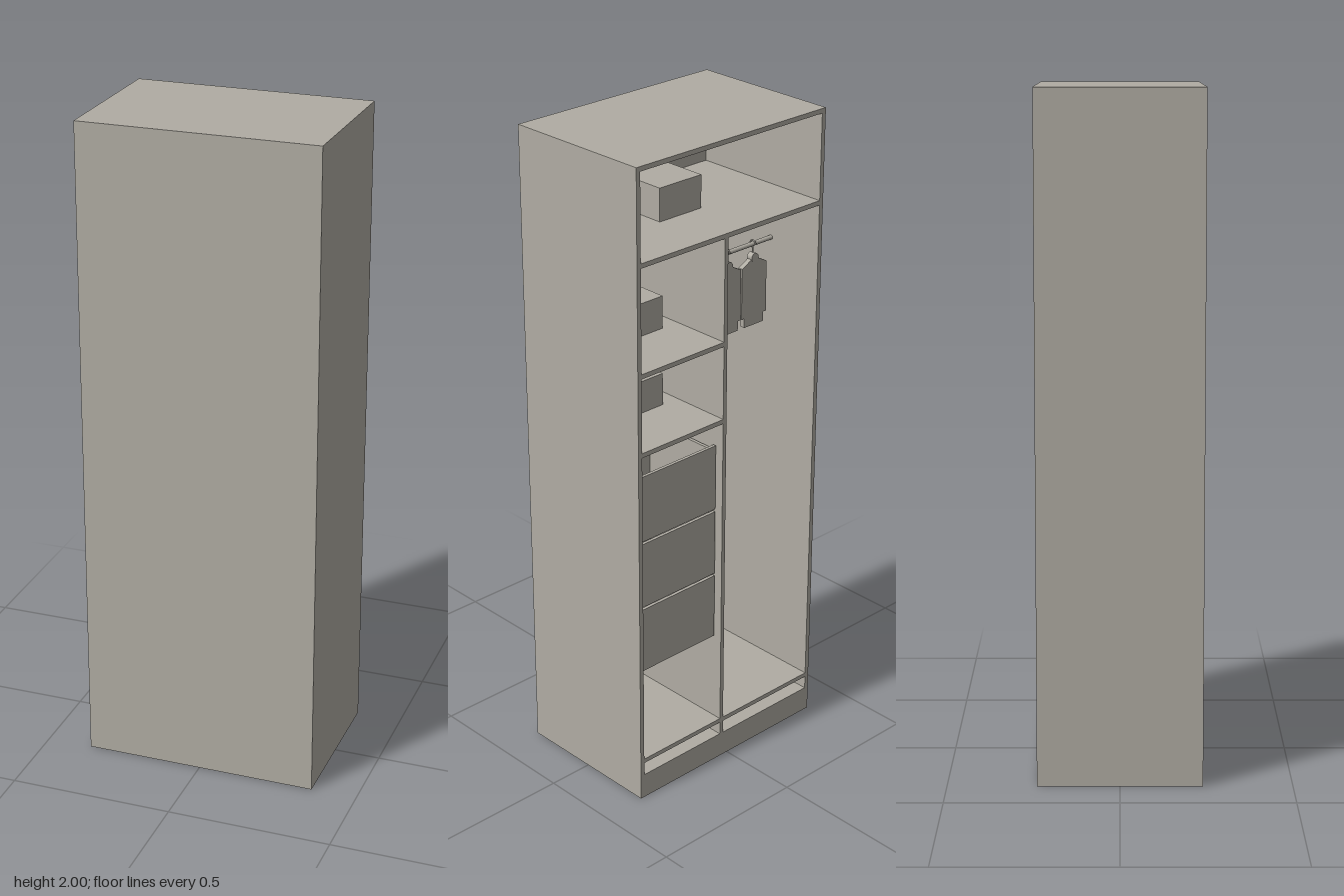
import * as THREE from 'three';

export function createModel() {
  const root = new THREE.Group();
  root.name = 'wardrobe';
  const mat = new THREE.MeshStandardMaterial({ color: 0xb0aca3 });
  mat.name = 'warm grey';

  const add = (name, geo, parent = root) => {
    const m = new THREE.Mesh(geo, mat);
    m.name = name;
    parent.add(m);
    return m;
  };
  // Box given by its lower and upper limits
  const box = (name, x0, x1, y0, y1, z0, z1, parent) => {
    const m = add(name, new THREE.BoxGeometry(x1 - x0, y1 - y0, z1 - z0), parent);
    m.position.set((x0 + x1) / 2, (y0 + y1) / 2, (z0 + z1) / 2);
    return m;
  };

  const W = 0.36, D = 0.24, T = 0.014;
  const inner = W - T, front = D - T;
  const divL = 0.031, divR = 0.018;

  // Carcass: closed at +z, open at -z
  box('rightSide', -W, -inner, 0.08, 2 - T, -D, front);
  box('leftSide', inner, W, 0.08, 2 - T, -D, front);
  box('topPanel', -W, W, 2 - T, 2, -D, front);
  box('frontPanel', -W, W, 0.08, 2, front, D);
  box('plinth', -W, W, 0, 0.08, -D, D);
  box('floorShelf', -inner, inner, 0.122, 0.136, -D, front);
  box('upperShelf', -inner, inner, 1.712, 1.726, -D, front);
  box('divider', divR, divL, 0.08, 1.712, -D, front);

  // Shelves of the narrow column
  for (const y of [1.4, 1.158]) box('shelf', divL, inner, y - T, y, -D, front);

  // Storage boxes
  for (const [x, y] of [[0.02, 1.726], [0.17, 1.4], [0.17, 1.158]]) {
    box('storageBox', x - 0.08, x + 0.08, y, y + 0.1, -0.05, 0.085);
  }

  // Open-topped drawers
  for (let i = 0; i < 3; i++) {
    const g = new THREE.Group();
    g.name = 'drawer';
    root.add(g);
    const y = 0.425 + i * 0.2165, x0 = divL + 0.004, x1 = inner - 0.004;
    const z0 = -0.215, z1 = 0.065, t = 0.01;
    box('drawerFace', x0, x1, y, y + 0.208, z0, z0 + t, g);
    box('drawerFarWall', x0, x1, y, y + 0.195, z1 - t, z1, g);
    box('drawerBottom', x0, x1, y, y + t, z0 + t, z1 - t, g);
    box('drawerRightWall', x0, x0 + t, y + t, y + 0.195, z0 + t, z1 - t, g);
    box('drawerLeftWall', x1 - t, x1, y + t, y + 0.195, z0 + t, z1 - t, g);
  }

  // Clothes rail
  const railY = 1.56, railZ = -0.05;
  const rail = add('rail', new THREE.CylinderGeometry(0.007, 0.007, inner + divR, 16));
  rail.rotation.z = Math.PI / 2;
  rail.position.set((divR - inner) / 2, railY, railZ);

  // Shirt outline, mirrored about its middle
  const half = [[0.013, 0], [0.02, -0.004], [0.05, -0.02], [0.051, -0.18], [0.04, -0.18], [0.039, -0.21]];
  const outline = [...half, ...half.map(([x, y]) => [-x, y]).reverse()];
  const shirtShape = new THREE.Shape(outline.map(([x, y]) => new THREE.Vector2(x, y)));
  const shirtGeo = new THREE.ExtrudeGeometry(shirtShape, { depth: 0.016, bevelEnabled: false });
  shirtGeo.translate(0, 0, -0.008);
  for (const x of [-0.061, -0.166, -0.271]) {
    const g = new THREE.Group();
    g.name = 'hangingShirt';
    g.position.set(x, 1.515, railZ);
    root.add(g);
    add('shirt', shirtGeo, g);
    const collar = add('collar', new THREE.CylinderGeometry(0.014, 0.014, 0.02, 16), g);
    collar.rotation.x = Math.PI / 2;
    collar.position.y = 0.004;
    const hook = add('hook', new THREE.TorusGeometry(0.011, 0.0025, 6, 16, Math.PI * 1.5), g);
    hook.rotation.y = Math.PI / 2;
    hook.position.y = railY - 1.515;
    const stem = add('hookStem', new THREE.CylinderGeometry(0.0025, 0.0025, 0.035, 6), g);
    stem.position.y = 0.019;
  }

  // Flat slipper on the floor shelf: round toe and raised heel
  const toe = add('slipperToe', new THREE.CylinderGeometry(0.038, 0.038, 0.014, 24));
  toe.position.set(-0.06, 0.143, -0.03);
  box('slipperSole', -0.083, -0.035, 0.136, 0.148, -0.01, 0.11);
  box('slipperHeel', -0.08, -0.038, 0.148, 0.158, 0.03, 0.1);

  return root;
}
